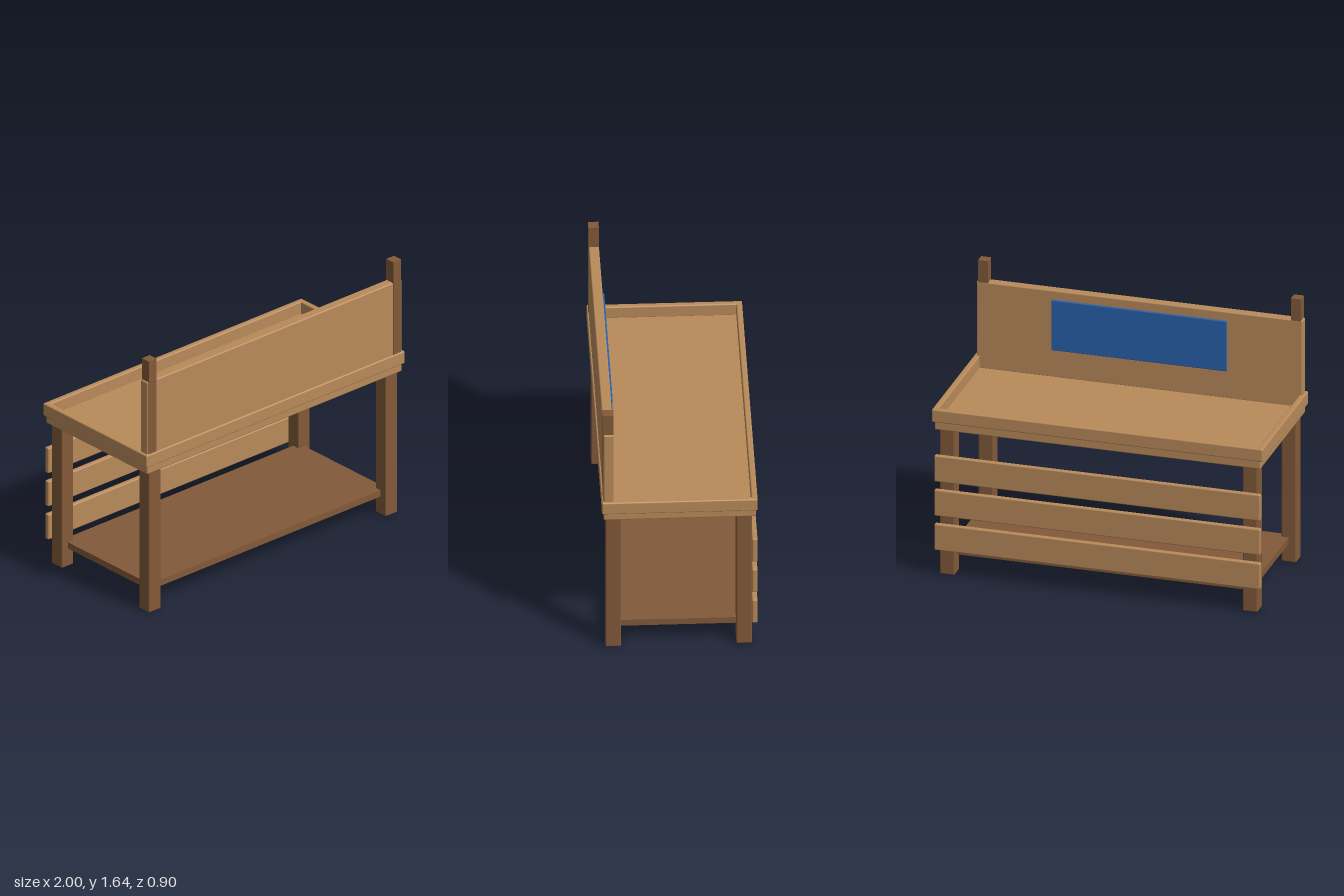
import * as THREE from 'three';
import { RoundedBoxGeometry } from 'three/addons/geometries/RoundedBoxGeometry.js';

export function createModel() {
  const bench = new THREE.Group();
  bench.name = 'workbench';

  const material = (name, color) => {
    const m = new THREE.MeshStandardMaterial({ color });
    m.name = name;
    return m;
  };
  const lightWood = material('lightWood', 0xb98b5b);
  const darkWood = material('darkWood', 0x835a39);
  const blue = material('blue', 0x2a62ad);

  // Box given by its limits on each axis; bevel 0 keeps the edges sharp
  function board(name, mat, [x0, x1], [y0, y1], [z0, z1], bevel = 0.008) {
    const size = [x1 - x0, y1 - y0, z1 - z0];
    const geometry = bevel
      ? new RoundedBoxGeometry(...size, 2, bevel)
      : new THREE.BoxGeometry(...size);
    const mesh = new THREE.Mesh(geometry, mat);
    mesh.name = name;
    mesh.position.set((x0 + x1) / 2, (y0 + y1) / 2, (z0 + z1) / 2);
    bench.add(mesh);
  }
  const sided = (s, a, b) => (s > 0 ? [a, b] : [-b, -a]);

  // Worktop slab with a raised rim
  board('worktop', lightWood, [-0.985, 0.985], [0.91, 0.965], [-0.44, 0.44]);
  board('backRim', lightWood, [-1, 1], [0.96, 1.04], [-0.45, -0.415]);
  board('frontRim', lightWood, [-1, 1], [0.96, 1.04], [0.415, 0.45]);

  for (const s of [-1, 1]) {
    const side = s > 0 ? 'left' : 'right';
    board(side + 'Rim', lightWood, sided(s, 0.965, 1), [0.96, 1.04], [-0.449, 0.449]);

    // Legs and the tall posts standing on the worktop
    board(side + 'FrontLeg', darkWood, sided(s, 0.87, 0.96), [0, 0.915], [0.337, 0.428]);
    board(side + 'BackLeg', darkWood, sided(s, 0.87, 0.96), [0, 0.915], [-0.42, -0.328]);
    board(side + 'Post', darkWood, sided(s, 0.915, 0.975), [0.96, 1.64], [0.381, 0.442], 0);
  }

  // Upright panel and the blue board fixed to it
  board('uprightPanel', lightWood, [-0.985, 0.985], [0.96, 1.505], [0.38, 0.44]);
  board('blueBoard', blue, [-0.53, 0.53], [1.135, 1.45], [0.367, 0.383], 0.005);

  // Low shelf between the legs
  board('shelf', darkWood, [-0.915, 0.915], [0.115, 0.155], [-0.375, 0.382], 0);

  // Slats across the back legs
  for (let i = 0; i < 3; i++) {
    const y = 0.158 + i * 0.215;
    board('slat' + (i + 1), lightWood, [-0.985, 0.985], [y, y + 0.163], [-0.45, -0.418]);
  }

  return bench;
}
